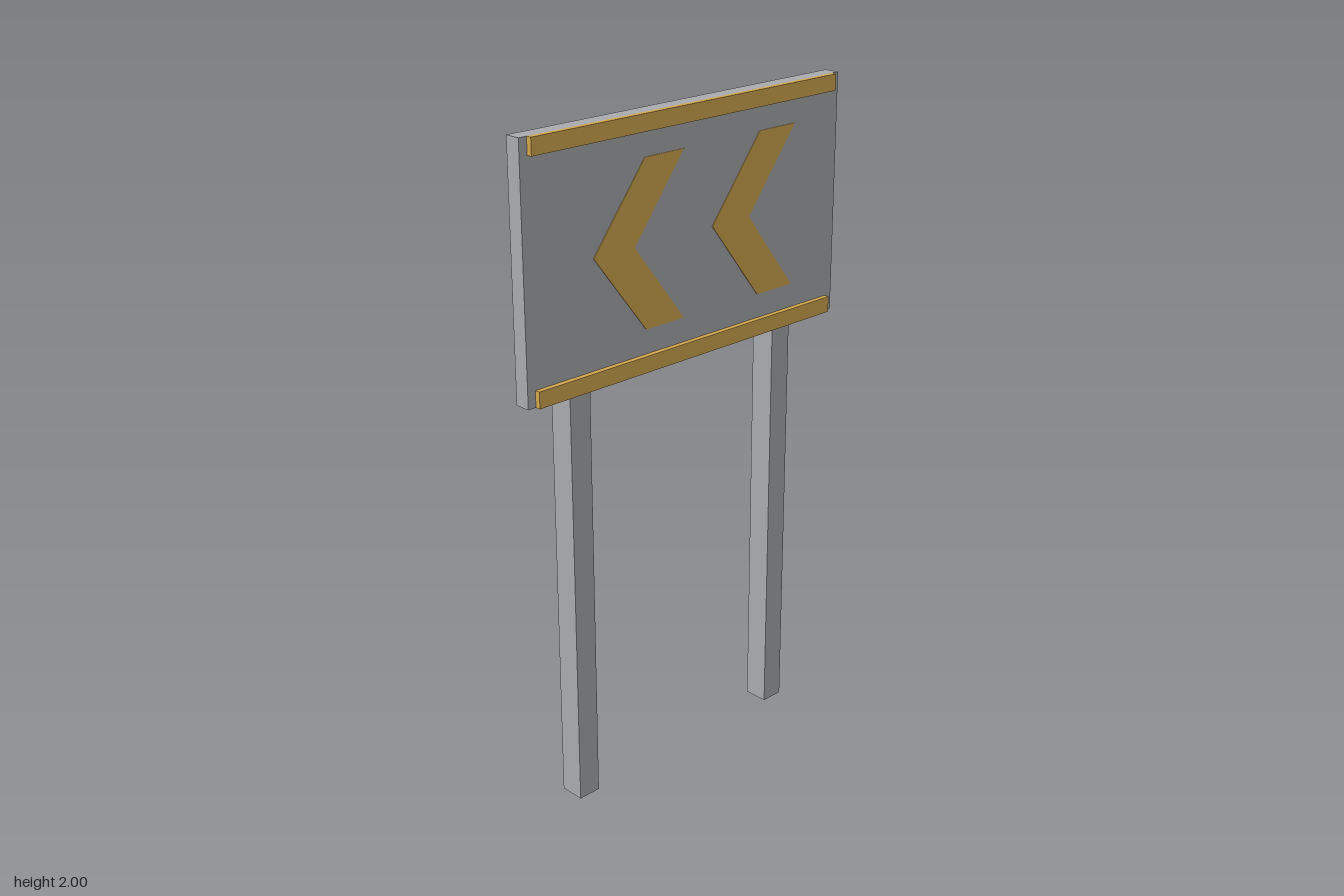
import * as THREE from 'three';

export function createModel() {
  const group = new THREE.Group();
  const grey = new THREE.MeshStandardMaterial({ color: 0xacadb1 });
  grey.name = 'grey metal';
  const amber = new THREE.MeshStandardMaterial({ color: 0xd6a950 });
  amber.name = 'amber paint';

  const add = (name, geometry, material) => {
    const mesh = new THREE.Mesh(geometry, material);
    mesh.name = name;
    group.add(mesh);
    return mesh;
  };

  // Box given by its lower and upper corners
  const box = (name, material, [x0, y0, z0], [x1, y1, z1]) =>
    add(name, new THREE.BoxGeometry(x1 - x0, y1 - y0, z1 - z0), material)
      .position.set((x0 + x1) / 2, (y0 + y1) / 2, (z0 + z1) / 2);

  // Board
  box('board', grey, [-0.592, 1.285, -0.007], [0.592, 2, 0.04]);

  // Raised strips along the top and bottom edges of the board
  box('topStrip', amber, [-0.566, 1.952, 0.04], [0.566, 2, 0.056]);
  box('bottomStrip', amber, [-0.566, 1.285, 0.04], [0.566, 1.333, 0.056]);

  // Posts, set partly into the back of the board
  for (const [name, x] of [['rightPost', -0.396], ['leftPost', 0.394]]) {
    box(name, grey, [x - 0.036, 0, -0.056], [x + 0.036, 1.95, 0.02]);
  }

  // Painted chevrons pointing to -x
  const chevron = new THREE.Shape([
    [0, 0], [0.185, -0.238], [0.328, -0.238],
    [0.146, 0], [0.328, 0.238], [0.185, 0.238],
  ].map(([x, y]) => new THREE.Vector2(x, y)));
  const plate = new THREE.ExtrudeGeometry(chevron, { depth: 0.002, bevelEnabled: false });
  for (const [name, x] of [['rightChevron', -0.357], ['leftChevron', 0.082]]) {
    add(name, plate, amber).position.set(x, 1.643, 0.04);
  }

  return group;
}
